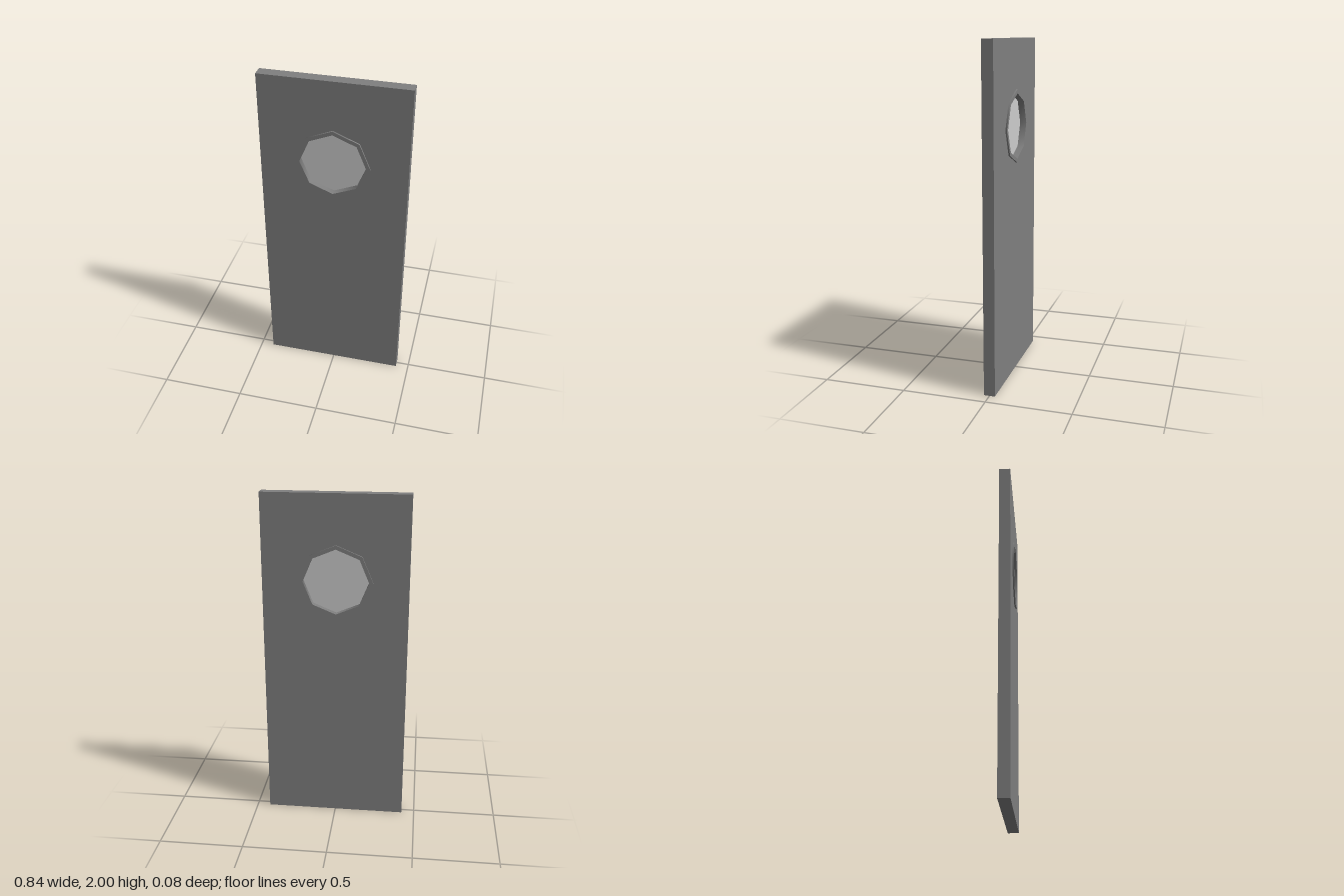
import * as THREE from 'three';
import { toCreasedNormals } from 'three/addons/utils/BufferGeometryUtils.js';

const WINDOW_X = -0.004, WINDOW_Y = 1.5;

// Points of an octagon with corners straight up and to the sides
function octagon(radius, x = 0, y = 0) {
  return Array.from({ length: 8 }, (_, i) => {
    const a = (i * Math.PI) / 4;
    return new THREE.Vector2(x + radius * Math.cos(a), y + radius * Math.sin(a));
  });
}

// Extrude an outline, optionally with a hole, centred on z = 0
function slab(outline, hole, depth) {
  const shape = new THREE.Shape(outline);
  if (hole) shape.holes.push(new THREE.Path(hole));
  const geometry = new THREE.ExtrudeGeometry(shape, { depth, bevelEnabled: false });
  return geometry.translate(0, 0, -depth / 2);
}

export function createModel() {
  const doorGrey = new THREE.MeshStandardMaterial({ color: 0x7f7f7f });
  doorGrey.name = 'doorGrey';
  const paleGlass = new THREE.MeshStandardMaterial({ color: 0xcccccc });
  paleGlass.name = 'paleGlass';

  const model = new THREE.Group();
  model.name = 'door';
  const add = (name, geometry, material) => {
    const mesh = new THREE.Mesh(geometry, material);
    mesh.name = name;
    model.add(mesh);
    return mesh;
  };

  // Door leaf with the window opening cut through
  const corners = [[-0.422, 0], [0.422, 0], [0.422, 2], [-0.422, 2]]
    .map(([x, y]) => new THREE.Vector2(x, y));
  add('doorPanel', slab(corners, octagon(0.2, WINDOW_X, WINDOW_Y), 0.066), doorGrey);

  // Frame standing slightly proud of both faces
  const frame = toCreasedNormals(slab(octagon(0.213), octagon(0.19), 0.084), Math.PI / 3.5);
  add('windowFrame', frame, doorGrey).position.set(WINDOW_X, WINDOW_Y, 0);

  // Thin pane recessed in the middle of the frame
  add('windowPane', slab(octagon(0.192), null, 0.008), paleGlass).position.set(WINDOW_X, WINDOW_Y, 0);

  return model;
}
